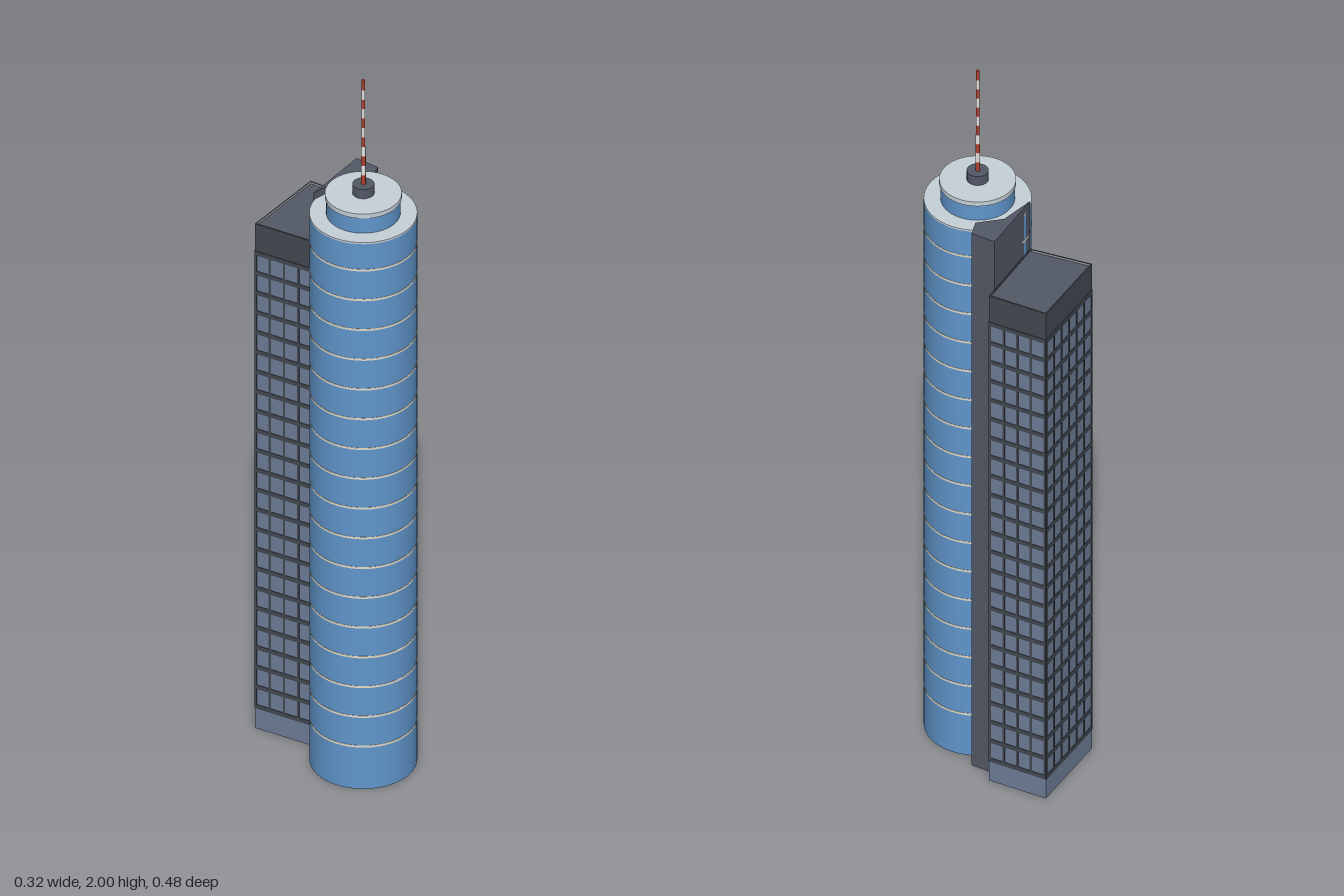
import * as THREE from 'three';

const mat = (name, color) => {
  const m = new THREE.MeshStandardMaterial({ color });
  m.name = name;
  return m;
};

export function createModel() {
  const blue = mat('blue glass', 0x6096cc);
  const cream = mat('cream trim', 0xe2dccb);
  const pale = mat('pale roof', 0xc6d0d8);
  const slate = mat('slate', 0x525866);
  const dark = mat('dark frame', 0x434850);
  const glass = mat('grey glass', 0x6d7c96);
  const red = mat('mast red', 0xb04030);
  const white = mat('mast white', 0xe6e6e6);

  const model = new THREE.Group();
  const add = (name, geo, material, parent = model) => {
    const m = new THREE.Mesh(geo, material);
    m.name = name;
    parent.add(m);
    return m;
  };

  // Vertical prism from a plan outline of [x, z] corners, with an optional hole
  const prism = (plan, y0, y1, hole) => {
    const toV = ([x, z]) => new THREE.Vector2(x, -z);
    const shape = new THREE.Shape(plan.map(toV));
    if (hole) shape.holes.push(new THREE.Path(hole.map(toV)));
    const g = new THREE.ExtrudeGeometry(shape, { depth: y1 - y0, bevelEnabled: false });
    return g.rotateX(-Math.PI / 2).translate(0, y0, 0);
  };

  // Round tower
  const tower = new THREE.Group();
  tower.name = 'roundTower';
  tower.position.set(0.028, 0, 0.107);
  model.add(tower);
  const drum = (name, r, y0, y1, material, segs = 48) => {
    const m = add(name, new THREE.CylinderGeometry(r, r, y1 - y0, segs), material, tower);
    m.position.y = (y0 + y1) / 2;
    return m;
  };
  drum('towerShaft', 0.132, 0, 1.605, blue);
  drum('towerRoof', 0.132, 1.605, 1.61, pale);
  for (let i = 0; i < 17; i++) {
    const y = 0.125 + i * 0.0877;
    drum('floorBand', 0.1327, y - 0.003, y + 0.003, cream);
  }
  drum('upperDrum', 0.091, 1.61, 1.655, blue);
  drum('upperDrumRoof', 0.094, 1.655, 1.668, pale);
  drum('mastBase', 0.027, 1.668, 1.695, slate, 24);

  // Striped mast
  const stripes = 11;
  const step = (2 - 1.695) / stripes;
  for (let i = 0; i < stripes; i++) {
    const y = 1.695 + i * step;
    drum('mastStripe', i < 4 ? 0.006 : 0.0045, y, y + step, i % 2 ? white : red, 10);
  }

  // Lift core between the two towers
  const core = [[-0.062, 0.008], [0.028, -0.022], [0.097, 0], [0.127, -0.033], [0.095, -0.09]];
  add('liftCore', prism(core, 0, 1.63), slate);

  // Slab tower: glazed body, dark crown, parapet
  const plan = [[-0.162, -0.122], [0.038, -0.241], [0.121, -0.107], [-0.062, 0.008]];
  const cx = -0.016, cz = -0.1155;
  const inner = plan.map(([x, z]) => [cx + (x - cx) * 0.96, cz + (z - cz) * 0.96]);
  add('slabBody', prism(plan, 0, 1.4), glass);
  add('slabCrown', prism(plan, 1.4, 1.477), dark);
  add('slabRoof', prism(inner, 1.477, 1.479), slate);
  add('slabParapet', prism(plan, 1.477, 1.485, inner), dark);

  // Window grid on each slab face
  const base = 0.065, top = 1.4, rows = 23;
  plan.forEach(([x0, z0], i) => {
    const [x1, z1] = plan[(i + 1) % 4];
    const len = Math.hypot(x1 - x0, z1 - z0);
    const face = new THREE.Group();
    face.name = 'windowGrid';
    face.position.set((x0 + x1) / 2, 0, (z0 + z1) / 2);
    face.rotation.y = -Math.atan2(z1 - z0, x1 - x0);
    model.add(face);
    const bar = (name, w, h, x, y) =>
      add(name, new THREE.BoxGeometry(w, h, 0.003), dark, face).position.set(x, y, 0);
    for (let r = 0; r <= rows; r++) {
      bar('floorBar', len, 0.012, 0, base + (top - base) * r / rows);
    }
    const cols = i % 2 ? 4 : 6;
    for (let c = 0; c <= cols; c++) {
      bar('mullion', 0.006, top - base, (c / cols - 0.5) * (len - 0.006), (top + base) / 2);
    }
  });

  return model;
}
